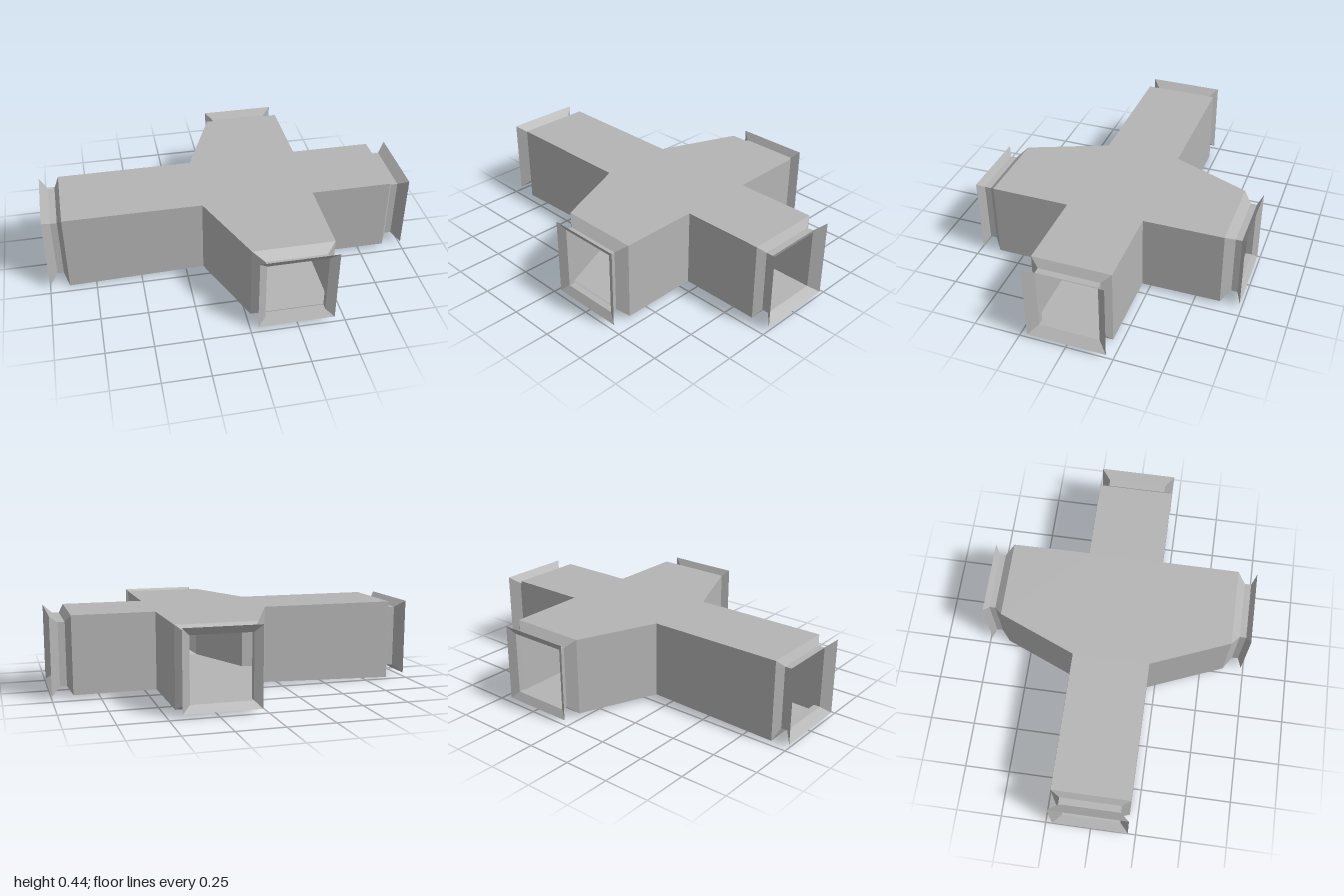
import * as THREE from 'three';

const TOP = 0.44, BASE = 0.02;

// Plan of the crossing duct as [x, z]; edges listed in MOUTHS stay open
const OUTLINE = [
  [-0.895, 0.205], [-0.155, 0.205], [0.02, 0.63], [0.45, 0.63], [0.45, 0.205], [0.89, 0.205],
  [0.89, -0.21], [0.45, -0.21], [0.445, -0.635], [0.02, -0.635], [-0.155, -0.21], [-0.895, -0.21],
];
const MOUTHS = [2, 5, 8, 11];

// The floor dips slightly towards the -x end
const floorY = (x) => BASE * Math.min(1, Math.max(0, (x + 0.895) / 0.74));

// Flat-shaded geometry from a list of four-cornered faces
function quads(faces) {
  const pos = [];
  for (const [a, b, c, d] of faces) pos.push(...a, ...b, ...c, ...a, ...c, ...d);
  const geo = new THREE.BufferGeometry();
  geo.setAttribute('position', new THREE.Float32BufferAttribute(pos, 3));
  geo.computeVertexNormals();
  return geo;
}

// Horizontal panel in the plan shape, facing up (side 1) or down (side -1)
function panel(side) {
  const shape = new THREE.Shape(OUTLINE.map(([x, z]) => new THREE.Vector2(x, -side * z)));
  const geo = new THREE.ShapeGeometry(shape).rotateX(-side * Math.PI / 2).toNonIndexed();
  const p = geo.attributes.position;
  for (let i = 0; i < p.count; i++) p.setY(i, side > 0 ? TOP : floorY(p.getX(i)));
  geo.computeVertexNormals();
  return geo;
}

// Rectangular sleeve through rings [distance, u0, u1, y0, y1] along the x or z axis
function sleeve(axis, rings) {
  const loops = rings.map(([a, u0, u1, y0, y1]) =>
    [[u0, y0], [u1, y0], [u1, y1], [u0, y1]].map(([u, y]) => (axis === 'x' ? [a, y, u] : [u, y, a])));
  const flip = (axis === 'x') !== (rings[0][0] < 0);
  const faces = [];
  for (let i = 0; i < loops.length - 1; i++) {
    for (let j = 0; j < 4; j++) {
      const k = (j + 1) % 4;
      const face = [loops[i][j], loops[i][k], loops[i + 1][k], loops[i + 1][j]];
      faces.push(flip ? face.reverse() : face);
    }
  }
  return quads(faces);
}

export function createModel() {
  const group = new THREE.Group();
  group.name = 'ductCrossing';
  const metal = new THREE.MeshStandardMaterial({ color: 0xb4b4b4, side: THREE.DoubleSide, flatShading: true });
  metal.name = 'lightGrey';
  const add = (name, geo) => {
    const mesh = new THREE.Mesh(geo, metal);
    mesh.name = name;
    group.add(mesh);
  };

  // Hollow body
  add('ceiling', panel(1));
  add('floor', panel(-1));
  const walls = [];
  OUTLINE.forEach(([x, z], i) => {
    if (MOUTHS.includes(i)) return;
    const [x2, z2] = OUTLINE[(i + 1) % OUTLINE.length];
    walls.push([[x, floorY(x), z], [x2, floorY(x2), z2], [x2, TOP, z2], [x, TOP, z]]);
  });
  add('walls', quads(walls));

  // Open collars: taper, narrow neck, flared rim
  const n0 = 0.06, n1 = 0.4;
  add('rightCollar', sleeve('x', [
    [-0.895, -0.21, 0.205, 0, TOP], [-0.92, -0.163, 0.16, n0, n1],
    [-0.955, -0.163, 0.16, n0, n1], [-1, -0.213, 0.207, BASE, TOP]]));
  add('leftCollar', sleeve('x', [
    [0.89, -0.21, 0.205, BASE, TOP], [0.917, -0.163, 0.16, n0, n1],
    [0.953, -0.163, 0.16, n0, n1], [1, -0.213, 0.207, BASE, TOP]]));
  add('frontCollar', sleeve('z', [
    [0.63, 0.02, 0.45, BASE, TOP], [0.675, 0.08, 0.4, n0, n1],
    [0.71, 0.08, 0.4, n0, n1], [0.735, 0.038, 0.447, BASE, TOP]]));
  add('backCollar', sleeve('z', [
    [-0.635, 0.02, 0.445, BASE, TOP], [-0.68, 0.067, 0.39, n0, n1],
    [-0.713, 0.067, 0.39, n0, n1], [-0.738, 0.027, 0.432, BASE, TOP]]));

  return group;
}
